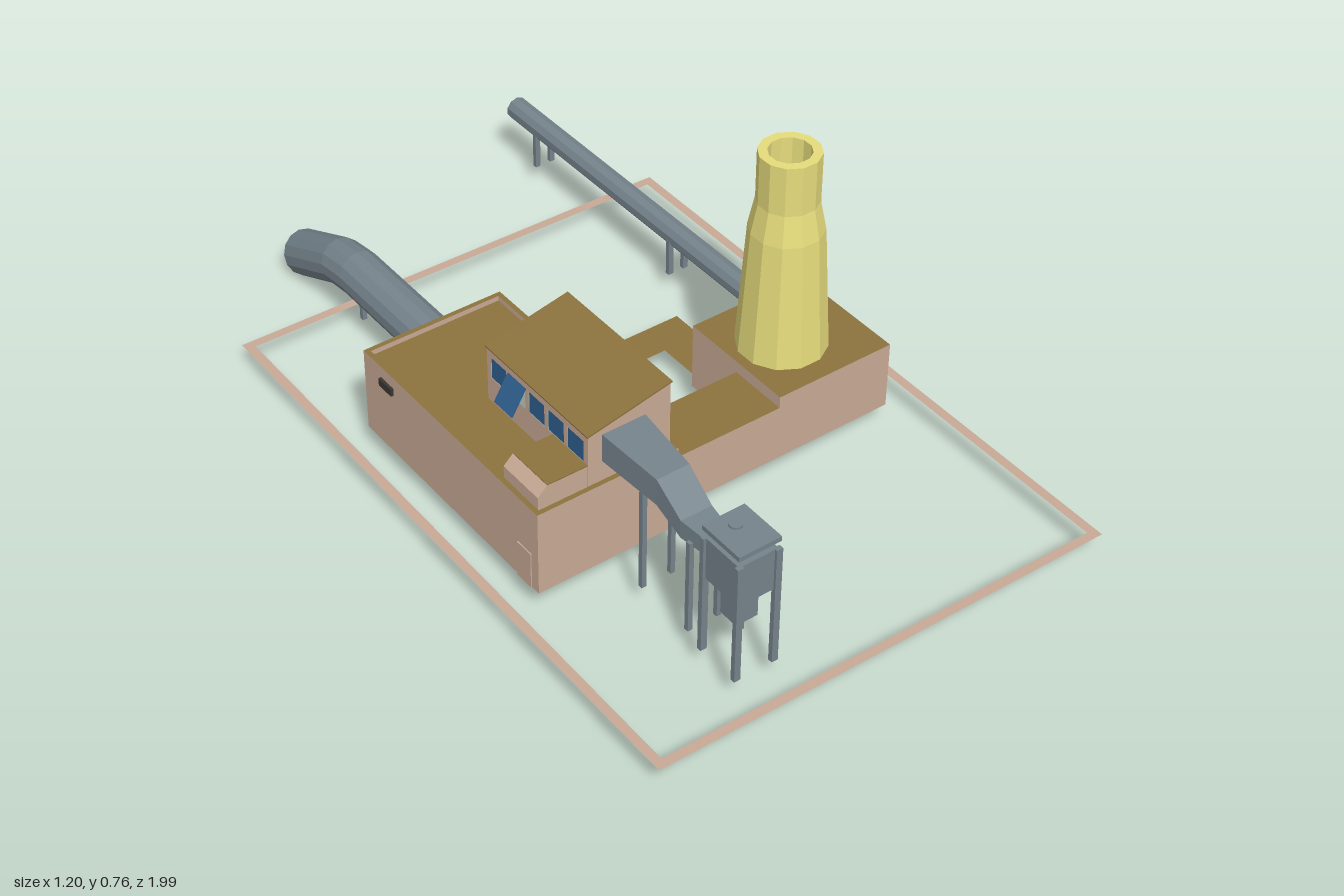
import * as THREE from 'three';

const material = (color) => new THREE.MeshStandardMaterial({ color, flatShading: true, side: THREE.DoubleSide });
const pink = material(0xc8aa96), brown = material(0x8c733e), grey = material(0x75838b);
const yellow = material(0xe6dc7c), blue = material(0x2f5f8f), dark = material(0x3c3632);
const GROUND = 0.065;

export function createModel() {
  const model = new THREE.Group();

  const add = (name, geometry, mat, parent = model) => {
    const mesh = new THREE.Mesh(geometry, mat);
    mesh.name = name;
    parent.add(mesh);
    return mesh;
  };
  const group = (name) => {
    const g = new THREE.Group();
    g.name = name;
    model.add(g);
    return g;
  };
  // Box given by its limits on each axis
  const box = (name, x0, x1, y0, y1, z0, z1, mat, parent) =>
    add(name, new THREE.BoxGeometry(x1 - x0, y1 - y0, z1 - z0)
      .translate((x0 + x1) / 2, (y0 + y1) / 2, (z0 + z1) / 2), mat, parent);

  const rect = (u0, u1, v0, v1) => [[u0, v0], [u1, v0], [u1, v1], [u0, v1]];
  const toVectors = (points) => points.map(([u, v]) => new THREE.Vector2(u, v));
  const sheet = (points, holes = []) => {
    const shape = new THREE.Shape(toVectors(points));
    holes.forEach((h) => shape.holes.push(new THREE.Path(toVectors(h))));
    return new THREE.ShapeGeometry(shape);
  };
  // Flat walls facing along x (outline in z, y) or z (outline in x, y), and level sheets (x, z)
  const wallX = (name, x, points, holes, parent) =>
    add(name, sheet(points, holes).rotateY(-Math.PI / 2).translate(x, 0, 0), pink, parent);
  const wallZ = (name, z, points, holes, parent) =>
    add(name, sheet(points, holes).translate(0, 0, z), pink, parent);
  const level = (name, y, points, holes, mat, parent) =>
    add(name, sheet(points, holes).rotateX(Math.PI / 2).translate(0, y, 0), mat, parent);

  // Lofted duct: rings of [z, y, pitch, width scale, height scale] around a section
  const duct = (name, x, section, rings, parent) => {
    const pos = [], index = [], n = section.length;
    rings.forEach(([z, y, a, sx, sy = sx]) => section.forEach(([u, v]) =>
      pos.push(x + u * sx, y + v * sy * Math.cos(a), z - v * sy * Math.sin(a))));
    for (let i = 0; i < rings.length - 1; i++)
      for (let j = 0; j < n; j++) {
        const a = i * n + j, b = i * n + (j + 1) % n;
        index.push(a, b, a + n, b, b + n, a + n);
      }
    const g = new THREE.BufferGeometry();
    g.setAttribute('position', new THREE.Float32BufferAttribute(pos, 3));
    g.setIndex(index);
    g.computeVertexNormals();
    return add(name, g, grey, parent);
  };
  const circle = (n, r = 1) => Array.from({ length: n }, (_, i) =>
    [r * Math.cos((i + 0.5) / n * 2 * Math.PI), r * Math.sin((i + 0.5) / n * 2 * Math.PI)]);
  const square = rect(-1, 1, -1, 1);
  // A pipe wall: outer rings, then the same rings back along the inside
  const hollow = (rings, r) => [...rings.map((p) => [...p, r]), ...[...rings].reverse().map((p) => [...p, r * 0.78])];

  // Boundary strip around the site
  level('boundaryStrip', GROUND, [[-0.59, -0.675], [0.595, -0.663], [0.585, 0.99], [-0.6, 0.975]],
    [[[-0.566, -0.652], [0.571, -0.64], [0.562, 0.967], [-0.577, 0.952]]], pink);

  // Main hall: open-bottomed walls, roof with a low parapet
  const hall = group('mainHall');
  const [hx0, hx1, hz0, hz1, hTop] = [-0.505, -0.14, -0.25, 0.425, 0.285];
  const smallWindows = (start) => [0, 1, 2, 3].map((i) =>
    rect(start + i * 0.045, start + i * 0.045 + 0.02, 0.14, 0.16));
  wallX('hallRightWall', hx0, rect(hz0, hz1, GROUND, hTop), [], hall);
  wallX('hallLeftWall', hx1, rect(hz0, hz1, GROUND, hTop), smallWindows(-0.23), hall);
  wallZ('hallBackWall', hz0, rect(hx0, hx1, GROUND, hTop), smallWindows(-0.47), hall);
  wallZ('hallFrontWall', hz1, rect(hx0, hx1, GROUND, hTop), [], hall);
  const inner = rect(-0.493, -0.152, -0.238, 0.413);
  level('parapetTop', hTop, rect(hx0, hx1, hz0, hz1), [inner], brown, hall);
  [-0.493, -0.152].forEach((x) => wallX('parapetInside', x, rect(-0.238, 0.413, 0.272, hTop), [], hall));
  [-0.238, 0.413].forEach((z) => wallZ('parapetInside', z, rect(-0.493, -0.152, 0.272, hTop), [], hall));
  level('hallRoof', 0.272, inner, [rect(-0.364, -0.155, 0.038, 0.408)], brown, hall);
  box('hallDoor', -0.508, -0.502, GROUND, 0.16, 0.35, 0.4, pink, hall);
  box('hallVent', -0.512, -0.5, 0.235, 0.255, -0.18, -0.13, dark, hall);
  box('hallSlot', -0.142, -0.136, 0.117, 0.125, -0.135, -0.09, dark, hall);

  // Upper storey with a sloping roof and window rows
  const upper = group('upperStorey');
  const [ux0, ux1, uz0, uz1, low, high] = [-0.365, -0.152, 0.037, 0.41, 0.418, 0.463];
  const windows = [0, 1, 2, 3, 4].map((i) => 0.052 + i * 0.071);
  const openings = windows.map((z) => rect(z, z + 0.058, 0.338, 0.395));
  wallX('upperRightWall', ux0, rect(uz0, uz1, 0.272, low), openings, upper);
  wallX('upperLeftWall', ux1, rect(uz0, uz1, 0.272, high), openings, upper);
  [uz0, uz1].forEach((z) => wallZ('upperEndWall', z,
    [[ux0, 0.272], [ux1, 0.272], [ux1, high], [ux0, low]], [], upper));
  const slope = Math.atan2(high - low, ux1 - ux0);
  const roof = box('upperRoof', -0.112, 0.112, -0.002, 0.002, -0.189, 0.189, brown, upper);
  roof.rotation.z = slope;
  roof.position.set((ux0 + ux1) / 2, (low + high) / 2, (uz0 + uz1) / 2);
  windows.forEach((z, i) => {
    if (i !== 1) return box('windowPane', -0.363, -0.36, 0.338, 0.395, z, z + 0.058, blue, upper);
    // One pane swung open on its top edge
    const pane = box('openPane', -0.002, 0.002, -0.072, 0, -0.033, 0.033, blue, upper);
    pane.position.set(-0.366, 0.397, z + 0.029);
    pane.rotation.z = -0.53;
  });

  // Low annex beside the upper storey, with a chamfered edge
  const annex = new THREE.Shape(toVectors(
    [[-0.492, 0.272], [-0.366, 0.272], [-0.366, 0.338], [-0.468, 0.338], [-0.492, 0.315]]));
  add('annex', new THREE.ExtrudeGeometry(annex, { depth: 0.125, bevelEnabled: false })
    .translate(0, 0, 0.284), pink);
  box('annexRoof', -0.468, -0.366, 0.337, 0.34, 0.284, 0.409, brown);

  // Elbow vent from the upper storey down to the hall roof
  const vent = [[-0.033, -0.02], [-0.02, -0.033], [0.02, -0.033], [0.033, -0.02],
    [0.033, 0.02], [0.02, 0.033], [-0.02, 0.033], [-0.033, 0.02]];
  duct('elbowVent', -0.207, vent, [[0.04, 0.335, 0, 1], [0, 0.335, 0.25, 1], [-0.018, 0.322, 0.9, 1],
    [-0.023, 0.305, 1.57, 1], [-0.023, 0.27, 1.57, 1]]);

  // Front corridor and the flat path behind it
  const corridor = group('corridor');
  [0.225, 0.38].forEach((z) => wallZ('corridorWall', z, rect(-0.14, 0.175, GROUND, 0.21), [], corridor));
  level('corridorRoof', 0.21, rect(-0.14, 0.175, 0.225, 0.38), [], brown, corridor);
  level('path', GROUND + 0.003, [[-0.14, -0.16], [0.302, -0.16], [0.302, 0.065], [0.2, 0.065],
    [0.2, -0.072], [-0.14, -0.072]], [], brown);

  // Chimney house
  const house = group('chimneyHouse');
  [0.175, 0.492].forEach((x) => wallX('houseWall', x, rect(0.065, 0.38, GROUND, 0.24), [], house));
  [0.065, 0.38].forEach((z) => wallZ('houseWall', z, rect(0.175, 0.492, GROUND, 0.24), [], house));
  level('houseRoof', 0.24, rect(0.175, 0.492, 0.065, 0.38),
    [circle(12, 0.095).map(([x, z]) => [x + 0.303, z + 0.225])], brown, house);
  box('houseDoor', 0.225, 0.275, GROUND, 0.15, 0.059, 0.066, pink, house);
  box('doorCanopy', 0.215, 0.28, 0.15, 0.157, 0.05, 0.066, pink, house);

  // Chimney, outer skin then inner flue
  const profile = [[0.09, 0.24], [0.107, 0.24], [0.087, 0.56], [0.072, 0.635], [0.072, 0.76],
    [0.05, 0.76], [0.05, 0.64], [0.065, 0.56], [0.09, 0.24]];
  add('chimney', new THREE.LatheGeometry(toVectors(profile), 12, Math.PI / 12)
    .translate(0.303, 0, 0.225), yellow);

  // Long thin pipe on paired legs
  const thin = group('thinPipe');
  duct('thinPipeWall', 0.419, circle(10), hollow([[0.065, 0.165, 0], [-1, 0.165, 0]], 0.03), thin);
  [0.02, -0.315, -0.88].forEach((z) => [0.397, 0.441].forEach((x) =>
    box('thinPipeLeg', x - 0.007, x + 0.007, 0.06, 0.16, z - 0.006, z + 0.006, grey, thin)));

  // Wide pipe bending down at the back
  const wide = group('widePipe');
  duct('widePipeWall', -0.273, circle(14), hollow([[-0.245, 0.152, 0], [-0.65, 0.152, 0.12],
    [-0.73, 0.14, 0.36], [-0.915, 0.056, 0.45]], 0.058), wide);
  [-0.325, -0.6].forEach((z) => [-0.3, -0.246].forEach((x) =>
    box('widePipeLeg', x - 0.006, x + 0.006, 0.06, 0.12, z - 0.006, z + 0.006, grey, wide)));

  // Front conveyor duct on legs
  const conveyor = group('conveyor');
  duct('conveyorDuct', -0.273, square, [[0.41, 0.37, 0, 0.056, 0.036], [0.58, 0.362, 0, 0.042, 0.034],
    [0.66, 0.318, 0, 0.04, 0.023], [0.755, 0.313, 0, 0.027, 0.02]], conveyor);
  [[0.53, 0.34], [0.69, 0.305]].forEach(([z, top]) => [-0.311, -0.235].forEach((x) =>
    box('conveyorLeg', x - 0.006, x + 0.006, 0.06, top, z - 0.006, z + 0.006, grey, conveyor)));

  // Hopper tower: body, tapered base, spout, raised cap and corner legs
  const hopper = group('hopper');
  const [cx, cz] = [-0.273, 0.807];
  box('hopperBody', cx - 0.05, cx + 0.05, 0.262, 0.37, cz - 0.056, cz + 0.056, grey, hopper);
  add('hopperBase', new THREE.CylinderGeometry(0.07, 0.045, 0.026, 4, 1)
    .rotateY(Math.PI / 4).translate(cx, 0.249, cz), grey, hopper);
  box('hopperSpout', cx - 0.028, cx + 0.028, 0.175, 0.24, cz - 0.026, cz + 0.026, grey, hopper);
  box('hopperNeck', cx - 0.035, cx + 0.035, 0.37, 0.39, cz - 0.038, cz + 0.038, grey, hopper);
  box('hopperCap', cx - 0.054, cx + 0.054, 0.39, 0.402, cz - 0.06, cz + 0.06, grey, hopper);
  add('capKnob', new THREE.CylinderGeometry(0.015, 0.015, 0.006, 10).translate(cx, 0.404, cz - 0.02), grey, hopper);
  [-1, 1].forEach((sx) => [-1, 1].forEach((sz) => {
    const x = cx + sx * 0.049, z = cz + sz * 0.056;
    box('hopperLeg', x - 0.008, x + 0.008, 0.06, 0.37, z - 0.006, z + 0.006, grey, hopper);
  }));

  return model;
}
